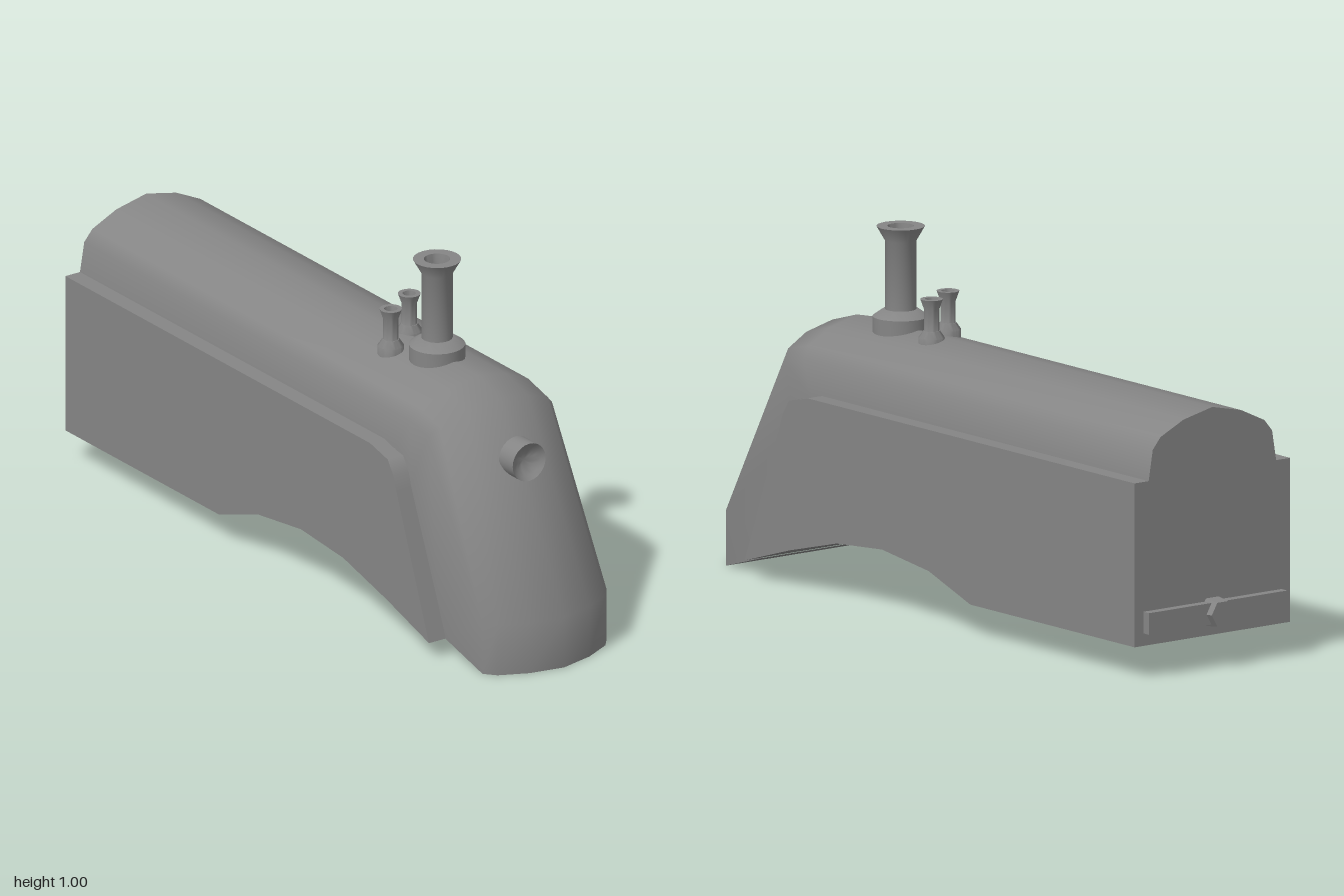
import * as THREE from 'three';
import { toCreasedNormals } from 'three/addons/utils/BufferGeometryUtils.js';

const material = new THREE.MeshStandardMaterial({ color: 0x858585 });

function part(name, geometry, parent) {
  const mesh = new THREE.Mesh(geometry, material);
  mesh.name = name;
  parent.add(mesh);
  return mesh;
}

// Lathe with crisp corners; profile points are [radius, height], bottom to top
function turned(profile, segments = 24) {
  const points = profile.map(([r, y]) => new THREE.Vector2(r, y));
  return toCreasedNormals(new THREE.LatheGeometry(points, segments), 0.7);
}

// Rounded hood: an arched section swept up the sloping nose and along the roof
function hoodGeometry() {
  const halfWidths = [0, 0.1, 0.18, 0.207];
  const insets = [0, 0.022, 0.06, 0.092];
  // p: centreline [z, y], n: inward direction [z, y], edge: [x, y, z] where it meets the skirt
  const stations = [
    { p: [1, 0], n: [-1, 0], edge: [0.214, 0.05, 0.74] },
    { p: [1, 0.147], n: [-1, 0], edge: [0.215, 0.12, 0.715] },
    { p: [0.703, 0.69], n: [-0.55, -0.85], edge: [0.221, 0.45, 0.59] },
    { p: [0.596, 0.722], n: [-0.3, -1], edge: [0.222, 0.535, 0.52] },
    { p: [-0.955, 0.722], n: [0, -1], edge: [0.222, 0.54, -0.955] },
  ];
  const vertex = (i, j) => {
    const k = Math.abs(j);
    const { p, n, edge } = stations[i];
    if (k === 4) return [Math.sign(j) * edge[0], edge[1], edge[2]];
    return [Math.sign(j) * halfWidths[k], p[1] + n[1] * insets[k], p[0] + n[0] * insets[k]];
  };
  const positions = [];
  const quad = (a, b, c, d) => positions.push(...a, ...b, ...c, ...a, ...c, ...d);

  for (let i = 0; i < stations.length - 1; i++) {
    for (let j = -4; j < 4; j++) {
      quad(vertex(i, j), vertex(i, j + 1), vertex(i + 1, j + 1), vertex(i + 1, j));
    }
  }
  // Close the underside of the nose and the rear end
  const last = stations.length - 1;
  for (let k = 0; k < 4; k++) {
    quad(vertex(0, -k), vertex(0, -k - 1), vertex(0, k + 1), vertex(0, k));
    quad(vertex(last, -k), vertex(last, k), vertex(last, k + 1), vertex(last, -k - 1));
  }
  const geometry = new THREE.BufferGeometry();
  geometry.setAttribute('position', new THREE.Float32BufferAttribute(positions, 3));
  return toCreasedNormals(geometry, 0.9);
}

// Full-width lower block with a smoothly arched underside
function skirtGeometry() {
  const outline = [
    [0.746, 0.05], [0.596, 0.44], [0.58, 0.485], [0.553, 0.525], [0.47, 0.545],
    [-0.955, 0.545], [-0.955, 0.09], [-0.238, 0.09], [-0.056, 0.153],
    [0.147, 0.179], [0.345, 0.163], [0.55, 0.11],
  ];
  const shape = new THREE.Shape(outline.map(([z, y]) => new THREE.Vector2(z, y)));
  const geometry = new THREE.ExtrudeGeometry(shape, { depth: 0.54, bevelEnabled: false });
  geometry.rotateY(-Math.PI / 2).translate(0.27, 0, 0);
  return toCreasedNormals(geometry, 0.85);
}

export function createModel() {
  const model = new THREE.Group();
  model.name = 'streamlinedBody';

  part('hood', hoodGeometry(), model);
  part('sideSkirts', skirtGeometry(), model);

  // Tall flared chimney on a stepped base
  const chimney = part('chimney', turned([
    [0.077, 0.68], [0.077, 0.75], [0.048, 0.77], [0.043, 0.77], [0.043, 0.96],
    [0.066, 1], [0.036, 1], [0.03, 0.96], [0.03, 0.8], [0, 0.8],
  ]), model);
  chimney.position.set(0, 0, 0.405);

  // Two small flared pipes behind it
  const pipeProfile = [
    [0.036, 0.68], [0.036, 0.723], [0.023, 0.742], [0.021, 0.742], [0.021, 0.802],
    [0.031, 0.83], [0.018, 0.83], [0.014, 0.805], [0.014, 0.75], [0, 0.75],
  ];
  for (const [x, z] of [[-0.071, 0.288], [0.032, 0.23]]) {
    part('smallPipe', turned(pipeProfile), model).position.set(x, 0, z);
  }

  // Short headlamp with a hollow reflector
  const lamp = part('headlamp', turned([
    [0, -0.064], [0.055, -0.064], [0.055, 0], [0.045, -0.01], [0.032, -0.019],
    [0.017, -0.025], [0, -0.027],
  ]), model);
  lamp.rotation.x = Math.PI / 2;
  lamp.position.set(0, 0.548, 0.836);

  // Rear beam with a hexagonal coupling boss
  const beam = part('rearBeam', new THREE.BoxGeometry(0.48, 0.06, 0.035), model);
  beam.position.set(0, 0.155, -0.963);

  const boss = part('couplingBoss', toCreasedNormals(
    new THREE.CylinderGeometry(0.045, 0.038, 0.05, 6, 1, false, Math.PI / 6), 0.3), model);
  boss.rotation.x = Math.PI / 2;
  boss.position.set(0, 0.155, -0.975);

  return model;
}
